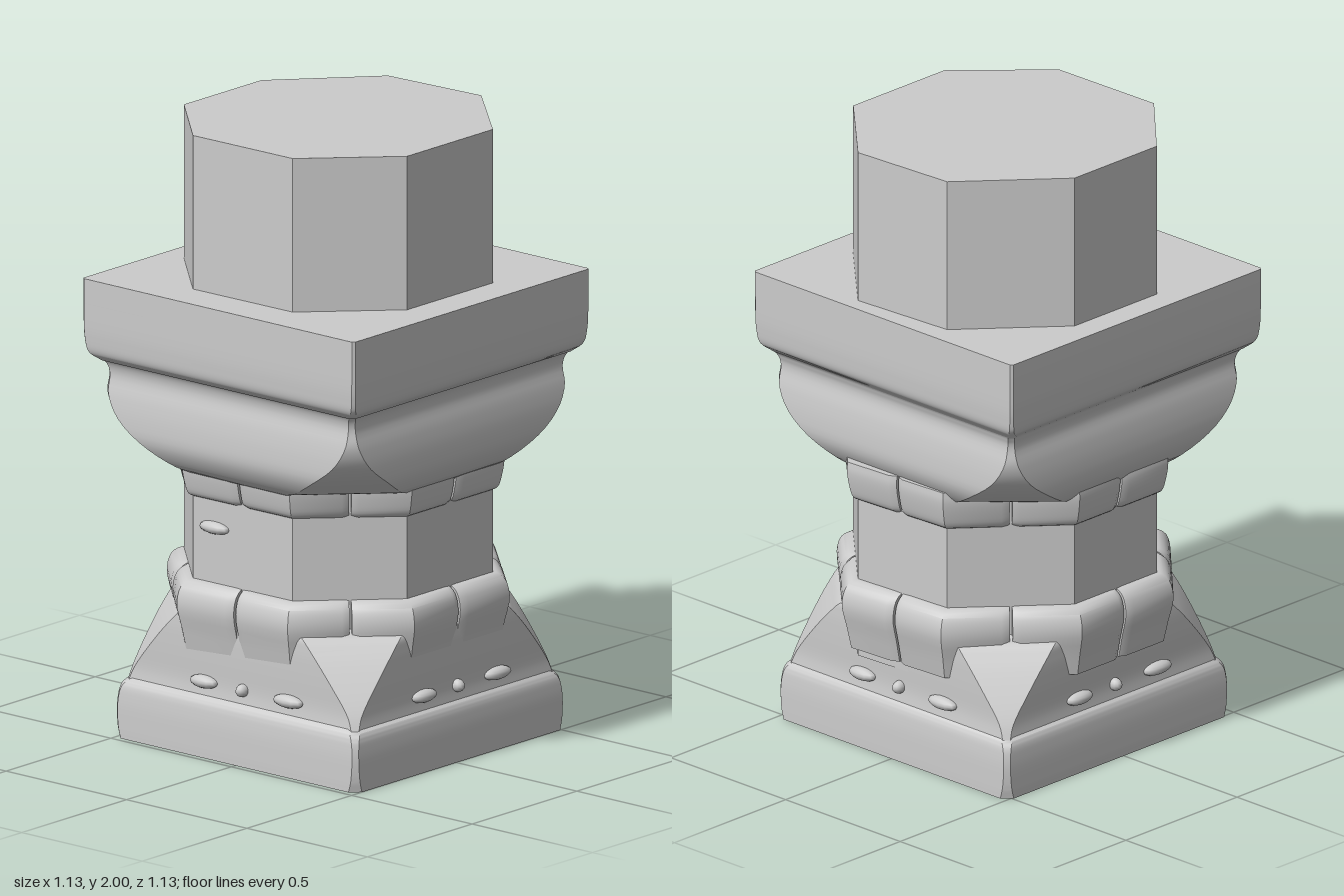
import * as THREE from 'three';
import { toCreasedNormals } from 'three/addons/utils/BufferGeometryUtils.js';

// Slightly irregular octagon of the shaft, as [x, z]
const OCTAGON = [[-0.18, -0.475], [0.19, -0.475], [0.49, -0.21], [0.51, 0.16],
  [0.24, 0.443], [-0.17, 0.443], [-0.425, 0.19], [-0.43, -0.22]];
const CX = 0.03, CZ = -0.012;

const material = new THREE.MeshStandardMaterial({ color: 0xcccccc });

function part(name, geometry) {
  const mesh = new THREE.Mesh(geometry, material);
  mesh.name = name;
  return mesh;
}

// Skin a stack of cross-sections { y, points: [[x, z], ...] } and cap both ends
function loft(sections, crease = 0.6) {
  const pos = [], idx = [], n = sections[0].points.length;
  for (const { y, points } of sections) for (const [x, z] of points) pos.push(x, y, z);
  for (let j = 0; j < sections.length - 1; j++) {
    for (let i = 0; i < n; i++) {
      const a = j * n + i, b = j * n + (i + 1) % n;
      idx.push(a, a + n, b, b, a + n, b + n);
    }
  }
  for (const [j, top] of [[0, false], [sections.length - 1, true]]) {
    const { y, points } = sections[j], c = pos.length / 3;
    pos.push(points.reduce((s, p) => s + p[0], 0) / n, y, points.reduce((s, p) => s + p[1], 0) / n);
    for (let i = 0; i < n; i++) {
      const a = j * n + i, b = j * n + (i + 1) % n;
      idx.push(c, top ? b : a, top ? a : b);
    }
  }
  const g = new THREE.BufferGeometry();
  g.setAttribute('position', new THREE.Float32BufferAttribute(pos, 3));
  g.setIndex(idx);
  return toCreasedNormals(g, crease);
}

// Square with half-width h and corners cut back by c
function cutSquare(h, c, cx, cz) {
  const k = h - c;
  return [[-k, -h], [k, -h], [h, -k], [h, k], [k, h], [-k, h], [-h, k], [-h, -k]]
    .map(([x, z]) => [x + cx, z + cz]);
}

// Smoothed profile of [y, halfWidth, cornerCut] rows
function squareLoft(rows, cx, cz, steps = 24) {
  const curve = new THREE.CatmullRomCurve3(rows.map((r) => new THREE.Vector3(...r)), false, 'centripetal');
  return loft(curve.getPoints(steps).map((p) =>
    ({ y: p.x, points: cutSquare(p.y, Math.max(p.z, 0.008), cx, cz) })));
}

const scaled = ([x, z], s) => [CX + (x - CX) * s, CZ + (z - CZ) * s];
const mix = (p, q, t) => [p[0] + (q[0] - p[0]) * t, p[1] + (q[1] - p[1]) * t];

function octagonLoft(y0, y1) {
  return loft([y0, y1].map((y) => ({ y, points: OCTAGON })));
}

// Ring of eight blocks, one around each octagon corner, parted by mid-face grooves
function blockRing(name, rows) {
  const group = new THREE.Group();
  group.name = name;
  const curve = new THREE.CatmullRomCurve3(rows.map(([y, s]) => new THREE.Vector3(y, s, 0)));
  OCTAGON.forEach((p, i) => {
    const prev = OCTAGON[(i + 7) % 8], next = OCTAGON[(i + 1) % 8];
    const outline = [mix(p, prev, 0.49), mix(p, prev, 0.43), p, mix(p, next, 0.43), mix(p, next, 0.49)];
    const sections = curve.getPoints(14).map(({ x: y, y: s }) => ({
      y,
      points: [
        scaled(outline[0], 0.9), scaled(outline[0], s - 0.025), scaled(outline[1], s), scaled(p, s),
        scaled(outline[3], s), scaled(outline[4], s - 0.025), scaled(outline[4], 0.9),
      ],
    }));
    group.add(part('ringBlock', loft(sections)));
  });
  return group;
}

export function createModel() {
  const model = new THREE.Group();
  model.name = 'pillar';

  // Plinth and tapering base with corner spurs
  model.add(part('plinth', squareLoft([[0, 0.503, 0.03], [0.04, 0.503, 0.02], [0.13, 0.5, 0.015],
    [0.175, 0.492, 0.02], [0.2, 0.472, 0.03]], 0.022, -0.003)));
  model.add(part('spurredBase', squareLoft([[0.18, 0.48, 0.015], [0.23, 0.474, 0.03], [0.32, 0.475, 0.1],
    [0.41, 0.474, 0.18], [0.45, 0.468, 0.22], [0.465, 0.445, 0.25]], 0.024, -0.003)));

  // Rosette nubs on all four sides of the base
  const nubs = new THREE.Group();
  nubs.name = 'baseNubs';
  for (let side = 0; side < 4; side++) {
    for (const [u, w] of [[-0.15, 0.055], [0.01, 0.02], [0.2, 0.06]]) {
      const nub = part('nub', new THREE.SphereGeometry(1, 12, 8));
      nub.scale.set(w, 0.021, 0.026);
      nub.position.set(u, 0.24, 0.478);
      const pivot = new THREE.Group();
      pivot.add(nub);
      pivot.rotation.y = side * Math.PI / 2;
      pivot.position.set(0.024, 0, -0.003);
      nubs.add(pivot);
    }
  }
  model.add(nubs);

  // Lower bulging ring, shaft neck and upper ring
  model.add(blockRing('lowerRing', [[0.33, 1.045], [0.4, 1.075], [0.48, 1.11], [0.53, 1.09], [0.555, 1.04], [0.56, 0.99]]));
  model.add(part('neck', octagonLoft(0.3, 1.0)));
  model.add(blockRing('upperRing', [[0.825, 0.99], [0.84, 1.035], [0.88, 1.06], [0.93, 1.075], [0.96, 1.07]]));

  // Small chip standing out of the neck
  const chip = part('neckChip', new THREE.SphereGeometry(1, 12, 8));
  chip.scale.set(0.025, 0.02, 0.06);
  chip.position.set(-0.43, 0.74, -0.13);
  model.add(chip);

  // Capital: octagonal below, swelling to a square under the slab
  model.add(part('capitalBell', squareLoft([[0.91, 0.462, 0.27], [0.93, 0.49, 0.24], [0.99, 0.526, 0.17],
    [1.06, 0.53, 0.08], [1.13, 0.522, 0.03], [1.19, 0.51, 0.015], [1.225, 0.518, 0.015], [1.25, 0.54, 0.015]],
  0.004, -0.003)));
  model.add(part('capitalSlab', squareLoft([[1.235, 0.53, 0.02], [1.26, 0.554, 0.012], [1.31, 0.562, 0.008],
    [1.42, 0.564, 0.008], [1.5, 0.564, 0.008]], 0, 0)));

  // Upper shaft
  model.add(part('shaft', octagonLoft(1.48, 2)));
  return model;
}
